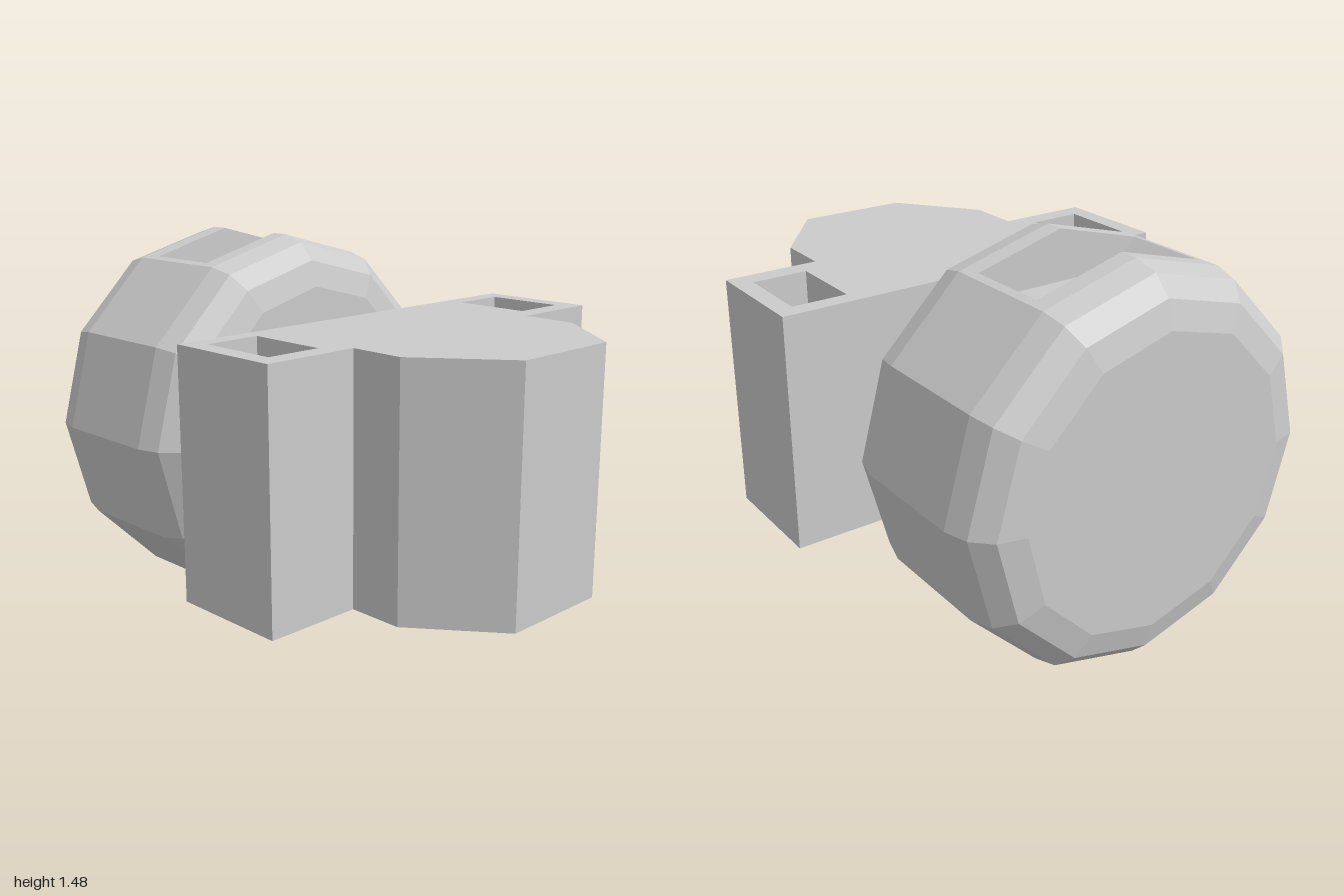
import * as THREE from 'three';
import { mergeGeometries } from 'three/addons/utils/BufferGeometryUtils.js';

const material = new THREE.MeshStandardMaterial({ color: 0xcccccc, flatShading: true });

// Flat-shaded geometry from convex polygons (corners counter-clockwise from outside)
function fromPolygons(polys) {
  const pos = [];
  for (const p of polys)
    for (let i = 1; i < p.length - 1; i++) pos.push(...p[0], ...p[i], ...p[i + 1]);
  const g = new THREE.BufferGeometry();
  g.setAttribute('position', new THREE.Float32BufferAttribute(pos, 3));
  g.computeVertexNormals();
  return g;
}

const mirrorX = poly => poly.map(([x, y, z]) => [-x, y, z]).reverse();

function addMesh(group, name, geometry) {
  const mesh = new THREE.Mesh(geometry, material);
  mesh.name = name;
  group.add(mesh);
  return mesh;
}

// Vertical walls over a plan loop of [x, z] points, counter-clockwise from above
const walls = (loop, y0, y1) => loop.map(([x, z], i) => {
  const [u, w] = loop[(i + 1) % loop.length];
  return [[x, y0, z], [u, y0, w], [u, y1, w], [x, y1, z]];
});

// Horizontal cap over a plan, optionally with holes
function cap(loop, y, up, holes = []) {
  const vec = l => l.map(([x, z]) => new THREE.Vector2(x, -z));
  const shape = new THREE.Shape(vec(loop));
  shape.holes = holes.map(h => new THREE.Path(vec(h)));
  const g = new THREE.ShapeGeometry(shape).rotateX(-Math.PI / 2).translate(0, y, 0).toNonIndexed();
  g.deleteAttribute('uv');
  if (!up) {
    const p = g.attributes.position;
    for (let i = 0; i < p.count; i += 3) {
      const a = new THREE.Vector3().fromBufferAttribute(p, i);
      const b = new THREE.Vector3().fromBufferAttribute(p, i + 1);
      p.setXYZ(i, b.x, b.y, b.z);
      p.setXYZ(i + 1, a.x, a.y, a.z);
    }
    g.computeVertexNormals();
  }
  return g;
}

// Front block: stepped plan with tapered nose and two square pockets on top
function blockGeometry() {
  const y0 = 0.28, y1 = 1.2, pocketFloor = 1.06;
  const half = [[0.22, 1], [0.46, 0.69], [0.46, 0.48], [0.83, 0.48], [0.83, 0.02]];
  const plan = [...half, ...half.map(([x, z]) => [-x, z]).reverse()];
  const pockets = [0.65, -0.65].map(x =>
    [[x - 0.108, 0.4], [x + 0.108, 0.4], [x + 0.108, 0.09], [x - 0.108, 0.09]]);
  const parts = [fromPolygons(walls(plan, y0, y1)), cap(plan, y0, false), cap(plan, y1, true, pockets)];
  for (const p of pockets)
    parts.push(fromPolygons(walls([...p].reverse(), pocketFloor, y1)), cap(p, pocketFloor, true));
  return mergeGeometries(parts);
}

// Twelve-sided drum with rounded rims and a slot sunk across its top ridge
function drumGeometry() {
  const R = 0.74, sides = 12;
  const rim = [[0.55, -0.19], [0.65, -0.215], [0.715, -0.28], [R, -0.37]];
  const profile = [...rim, ...rim.map(([r, z]) => [r, -1.19 - z]).reverse()];
  const rings = profile.map(([r, z]) => Array.from({ length: sides }, (_, k) => {
    const a = k / sides * Math.PI * 2;
    return [r * Math.sin(a), R + r * Math.cos(a), z];
  }));
  const polys = [[...rings[0]].reverse(), rings[rings.length - 1]];
  for (let i = 0; i < rings.length - 1; i++)
    for (let k = 0; k < sides; k++) {
      if (i === 3 && (k === 0 || k === sides - 1)) continue; // replaced by the slotted facets
      const n = (k + 1) % sides;
      polys.push([rings[i][k], rings[i][n], rings[i + 1][n], rings[i + 1][k]]);
    }

  // Slotted top facets
  const zf = -0.44, zb = -0.75, xs = 0.34, xb = 0.225, yb = 1.29, xe = R / 2;
  const yTop = x => 2 * R - x * Math.tan(Math.PI / 12);
  const patch = (x0, x1, z0, z1) =>
    [[x0, yTop(x0), z0], [x1, yTop(x1), z0], [x1, yTop(x1), z1], [x0, yTop(x0), z1]];
  const right = [
    patch(0, xe, -0.37, zf), patch(xs, xe, zf, zb), patch(0, xe, zb, -0.82),
    // sloped slot end
    [[xb, yb, zf], [xs, yTop(xs), zf], [xs, yTop(xs), zb], [xb, yb, zb]],
  ];
  polys.push(...right, ...right.map(mirrorX));

  // Slot long walls and floor
  const side = z => [[-xb, yb, z], [xb, yb, z], [xs, yTop(xs), z], [0, 2 * R, z], [-xs, yTop(xs), z]];
  polys.push(side(zb), side(zf).reverse());
  polys.push([[-xb, yb, zf], [xb, yb, zf], [xb, yb, zb], [-xb, yb, zb]]);
  return fromPolygons(polys);
}

export function createModel() {
  const model = new THREE.Group();
  model.name = 'slottedDrumOnBlock';
  addMesh(model, 'frontBlock', blockGeometry());
  addMesh(model, 'drum', drumGeometry());
  // Neck joining block and drum
  const neck = new THREE.CylinderGeometry(0.313, 0.313, 0.21, 12, 1, true).rotateX(Math.PI / 2);
  addMesh(model, 'neck', neck).position.set(0, 0.742, -0.085);
  return model;
}
